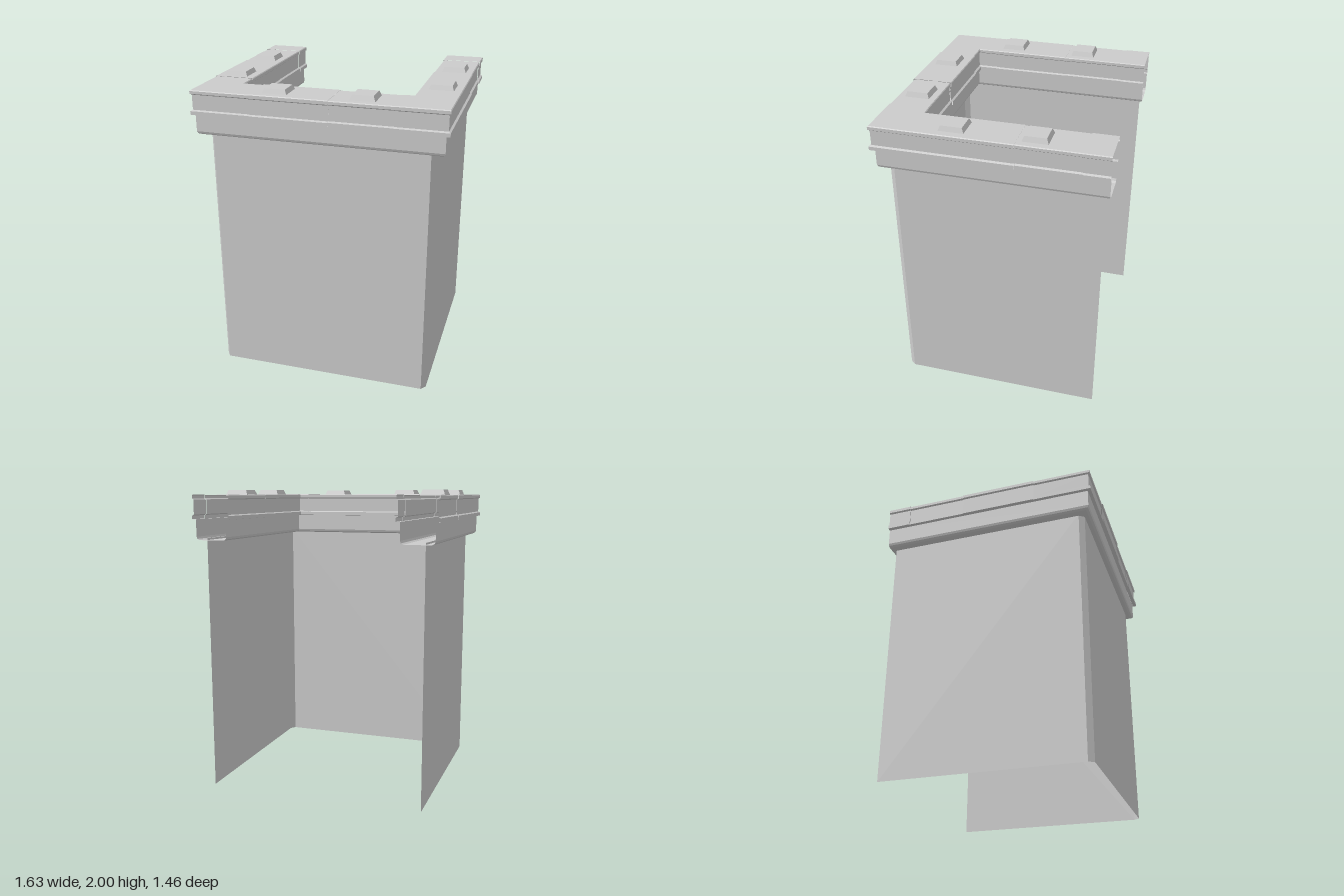
import * as THREE from 'three';

const material = new THREE.MeshStandardMaterial({ color: 0xcccccc, flatShading: true, side: THREE.DoubleSide });

// U-shaped centre line of the parapet
const CX = 0.682, CZ = 0.594, BACK = -0.73;
const arm = (side, z) => ({ x: side * CX, z, nx: side, nz: 0 });
const front = (x) => ({ x, z: CZ, nx: 0, nz: 1 });
const corner = (side) => ({ x: side * CX, z: CZ, nx: side, nz: 1 });

// Sweeps a profile of [offset, height] points through stations with mitred corners
function sweep(name, profile, stations) {
  const positions = [], index = [], n = profile.length;
  for (const s of stations)
    for (const [d, y] of profile) positions.push(s.x + s.nx * d, y, s.z + s.nz * d);
  for (let i = 0; i < stations.length - 1; i++)
    for (let j = 0; j < n - 1; j++) {
      const a = i * n + j, b = a + n;
      index.push(a, a + 1, b, b, a + 1, b + 1);
    }
  const indexed = new THREE.BufferGeometry();
  indexed.setAttribute('position', new THREE.Float32BufferAttribute(positions, 3));
  indexed.setIndex(index);
  const geometry = indexed.toNonIndexed();
  geometry.computeVertexNormals();
  const mesh = new THREE.Mesh(geometry, material);
  mesh.name = name;
  return mesh;
}

// Mirrors one half of a profile, inner side to outer side
const mirrored = (half) => [...half.map(([d, y]) => [-d, y]), ...half.slice().reverse()];

// Coping profile, enlarged by o: foot lip, wall, top lip and flat top
const coping = (o) => mirrored([
  [0.11, 1.81], [0.13 + o, 1.812], [0.13 + o, 1.835], [0.117 + o, 1.842],
  [0.117 + o, 1.938], [0.127 + o, 1.945], [0.127 + o, 1.962 + o / 2], [0.122 + o, 1.967 + o / 2],
]);

export function createModel() {
  const group = new THREE.Group();

  // Thin walls on three sides with chamfered corners
  const plan = [[-0.725, -0.7], [-0.725, 0.62], [-0.7, 0.655], [0.7, 0.655], [0.728, 0.62], [0.728, -0.7]];
  group.add(sweep('walls', [[0, 1.69], [0, 0]], plan.map(([x, z]) => ({ x, z, nx: 0, nz: 0 }))));

  // Hollow lower band with softened bottom edges
  const band = mirrored([[0.108, 1.812], [0.108, 1.7], [0.102, 1.686], [0.088, 1.678]]);
  group.add(sweep('lowerBand', band, [arm(-1, BACK), corner(-1), corner(1), arm(1, BACK)]));

  // Coping stones, each slightly different in size
  const stones = [
    ['leftCornerStone', 0.005, [front(0.485), corner(1), arm(1, 0.335)]],
    ['rightCornerStone', 0.001, [arm(-1, 0.335), corner(-1), front(-0.42)]],
    ['frontStoneA', 0.007, [front(-0.42), front(0.085)]],
    ['frontStoneB', 0.001, [front(0.085), front(0.485)]],
  ];
  for (const side of [-1, 1])
    stones.push(
      ['sideStoneFront', 0.005, [arm(side, 0.335), arm(side, -0.17)]],
      ['sideStoneMiddle', 0.001, [arm(side, -0.17), arm(side, -0.57)]],
      ['sideStoneBack', 0.005, [arm(side, -0.57), arm(side, BACK)]],
    );
  for (const [name, o, stations] of stones) group.add(sweep(name, coping(o), stations));

  // Bevelled square studs on top of the coping
  const spots = [[-0.27, 0.597], [0.28, 0.592]];
  for (const side of [-1, 1]) spots.push([side * 0.683, 0.225], [side * 0.683, -0.28]);
  for (const [x, z] of spots) {
    const geometry = new THREE.CylinderGeometry(0.067 * Math.SQRT2, 0.081 * Math.SQRT2, 0.036, 4, 1);
    geometry.rotateY(Math.PI / 4);
    const stud = new THREE.Mesh(geometry, material);
    stud.name = 'stud';
    stud.position.set(x, 1.982, z);
    group.add(stud);
  }
  return group;
}
